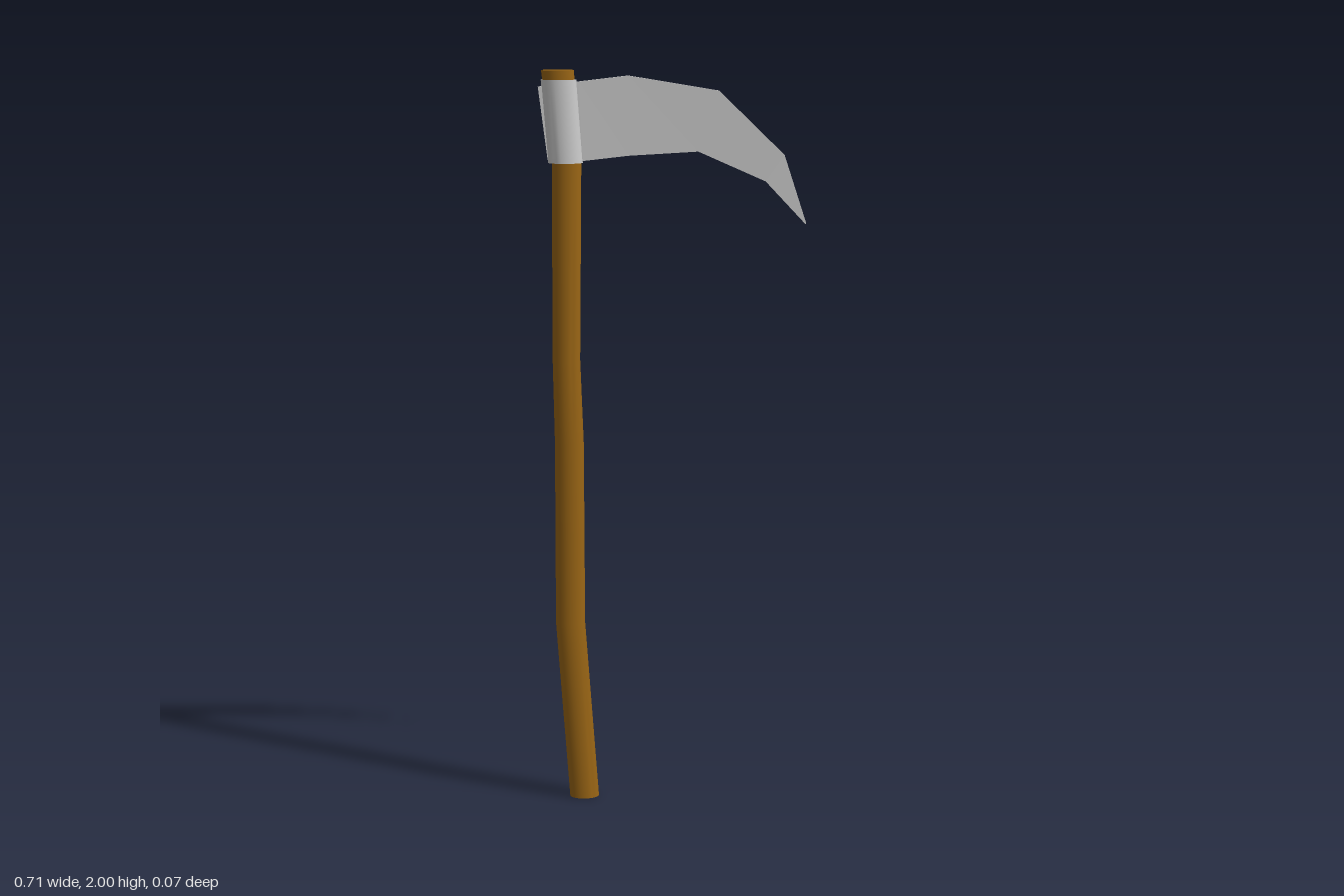
import * as THREE from 'three';
import { toCreasedNormals } from 'three/addons/utils/BufferGeometryUtils.js';

// Oval rod through sections [centre x, y, radius x, radius z], bottom to top
function ovalRod(sections) {
  const n = sections.length - 1;
  const geo = new THREE.CylinderGeometry(1, 1, 1, 24, n);
  const p = geo.attributes.position;
  for (let i = 0; i < p.count; i++) {
    const [cx, y, rx, rz] = sections[Math.round((p.getY(i) + 0.5) * n)];
    p.setXYZ(i, cx + p.getX(i) * rx, y, p.getZ(i) * rz);
  }
  return toCreasedNormals(geo, 0.6);
}

// Flat blade lofted through stations [spine x, y, edge x, y, half spine, half edge]
function bladeGeometry(stations) {
  const pos = [], idx = [];
  for (const [sx, sy, ex, ey, hs, he] of stations) {
    pos.push(sx, sy, hs, ex, ey, he, ex, ey, -he, sx, sy, -hs);
  }
  const quad = (a, b, c, d) => idx.push(a, b, c, a, c, d);
  for (let s = 0; s < stations.length - 1; s++) {
    for (let k = 0; k < 4; k++) {
      const a = s * 4 + k, b = s * 4 + (k + 1) % 4;
      quad(a, b, b + 4, a + 4);
    }
  }
  const e = (stations.length - 1) * 4;
  quad(3, 2, 1, 0);
  quad(e, e + 1, e + 2, e + 3);
  const geo = new THREE.BufferGeometry();
  geo.setAttribute('position', new THREE.Float32BufferAttribute(pos, 3));
  geo.setIndex(idx);
  const flat = geo.toNonIndexed();
  flat.computeVertexNormals();
  return flat;
}

export function createModel() {
  const model = new THREE.Group();
  model.name = 'scythe';
  const wood = new THREE.MeshStandardMaterial({ color: 0x996515 });
  const metal = new THREE.MeshStandardMaterial({ color: 0xcccccc });
  const bladeMetal = new THREE.MeshStandardMaterial({ color: 0xcccccc, flatShading: true });
  const add = (name, geo, mat) => {
    const mesh = new THREE.Mesh(geo, mat);
    mesh.name = name;
    model.add(mesh);
  };

  // Gently bent wooden shaft
  add('handle', ovalRod([
    [-0.249, 0, 0.04, 0.03],
    [-0.284, 0.5, 0.04, 0.03],
    [-0.283, 1.0, 0.039, 0.03],
    [-0.289, 1.23, 0.037, 0.03],
    [-0.284, 1.76, 0.039, 0.03],
    [-0.306, 2.0, 0.043, 0.03],
  ]), wood);

  // Metal sleeve around the top of the shaft
  add('collar', ovalRod([
    [-0.287, 1.757, 0.046, 0.034],
    [-0.303, 1.975, 0.047, 0.034],
  ]), metal);

  // Curved blade whose tang passes through the collar
  add('blade', bladeGeometry([
    [-0.358, 1.957, -0.334, 1.765, 0.006, 0.006],
    [-0.25, 1.97, -0.24, 1.762, 0.006, 0.005],
    [-0.12, 1.985, -0.12, 1.775, 0.006, 0.003],
    [0.12, 1.945, 0.065, 1.785, 0.005, 0.002],
    [0.295, 1.775, 0.245, 1.705, 0.002, 0.001],
    [0.355, 1.592, 0.353, 1.59, 0.0005, 0.0005],
  ]), bladeMetal);

  return model;
}
